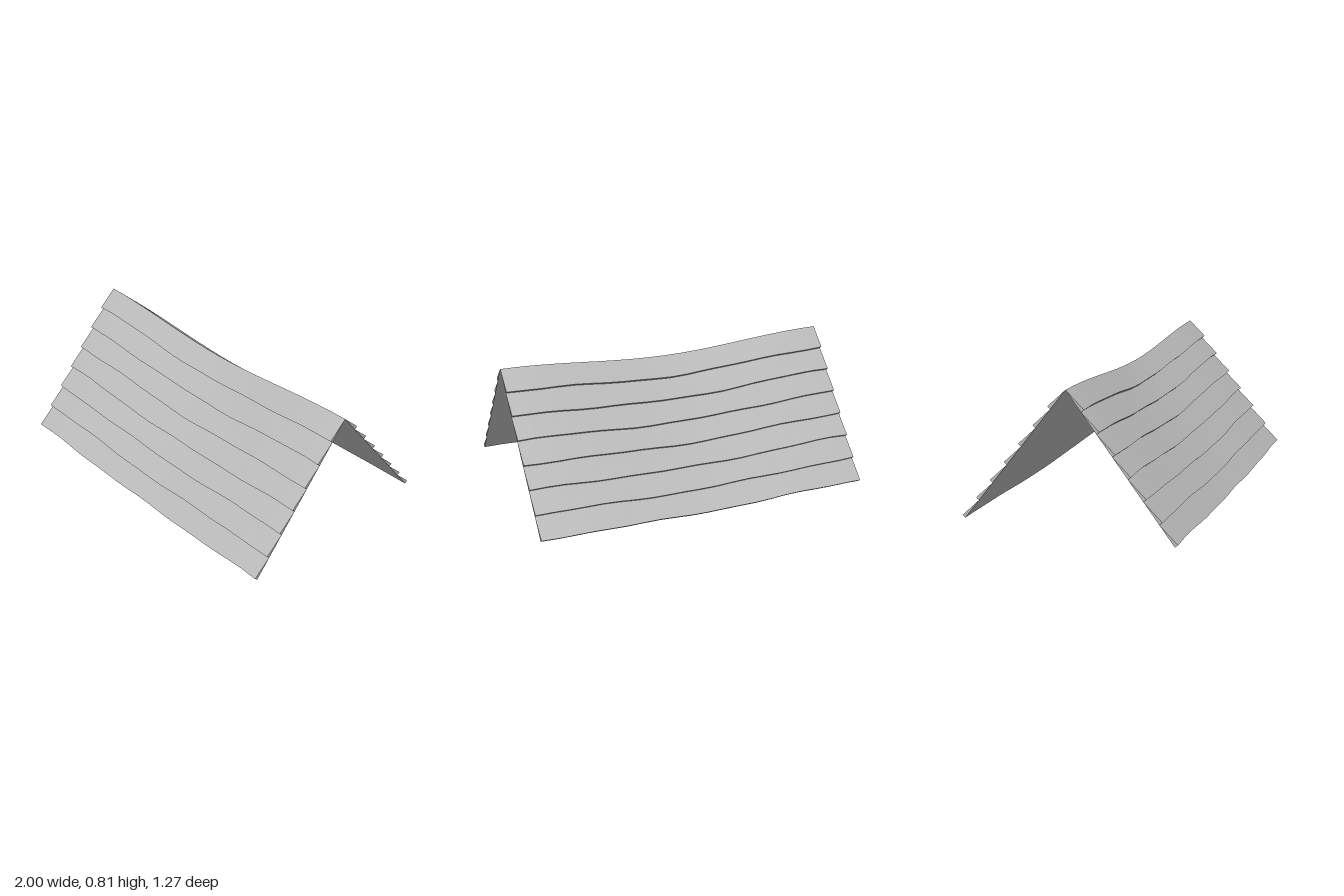
import * as THREE from 'three';

const COURSES = 7;
const SEGMENTS = 20;
const HALF_LENGTH = 0.9925;
const RUN = 0.614;
const THICKNESS = 0.022;
const RIDGE_Z = -0.004;

// Slightly uneven lower edge of each course; the ridge itself stays clean
function wobble(course, side, u) {
  if (course === 0) return 0;
  const phase = course * 2.3 + side * 1.1;
  return 0.003 * Math.sin(u * 7 + phase) + 0.002 * Math.sin(u * 15 + phase * 1.7);
}

// Point on the sagging roof plane at the lower edge of a course, raised outwards by lift
function roofPoint(course, side, u, lift) {
  const t = course / COURSES + wobble(course, side, u);
  const sag = (1 - Math.cos(Math.PI * u)) / 2;
  const ridgeY = 0.745 + 0.055 * sag + 0.015 * u;
  const eaveY = 0.005 + 0.018 * sag + 0.015 * u;
  const drop = ridgeY - eaveY;
  const slope = Math.hypot(RUN, drop);
  return [
    u * HALF_LENGTH + 0.0075 * (1 - 2 * t),
    ridgeY - drop * t + lift * RUN / slope,
    RIDGE_Z + side * (RUN * t + lift * drop / slope),
  ];
}

// Closed wedge: thin at the top, thick at the exposed lower edge
function courseGeometry(course, side) {
  const positions = [];
  const triangle = (a, b, c) => {
    const corners = side > 0 ? [a, b, c] : [a, c, b];
    corners.forEach((p) => positions.push(...p));
  };
  const section = (i) => {
    const u = -1 + (2 * i) / SEGMENTS;
    return [
      roofPoint(course, side, u, 0),
      roofPoint(course + 1, side, u, THICKNESS),
      roofPoint(course + 1, side, u, 0),
    ];
  };
  for (let i = 0; i < SEGMENTS; i++) {
    const p = section(i);
    const q = section(i + 1);
    for (let j = 0; j < 3; j++) {
      const k = (j + 1) % 3;
      triangle(p[j], p[k], q[k]);
      triangle(p[j], q[k], q[j]);
    }
  }
  // End caps at the gables
  const [a, b, c] = section(0);
  triangle(a, c, b);
  triangle(...section(SEGMENTS));

  const geometry = new THREE.BufferGeometry();
  geometry.setAttribute('position', new THREE.Float32BufferAttribute(positions, 3));
  geometry.computeVertexNormals();
  return geometry;
}

export function createModel() {
  const model = new THREE.Group();
  model.name = 'saggingRoof';
  const grey = new THREE.MeshStandardMaterial({ color: 0xb8b8b8, flatShading: true });
  grey.name = 'roofGrey';

  // Two mirrored slopes of overlapping courses
  for (const [name, side] of [['frontSlope', 1], ['backSlope', -1]]) {
    const slope = new THREE.Group();
    slope.name = name;
    for (let course = 0; course < COURSES; course++) {
      const mesh = new THREE.Mesh(courseGeometry(course, side), grey);
      mesh.name = `${name}Course${course + 1}`;
      slope.add(mesh);
    }
    model.add(slope);
  }
  return model;
}
